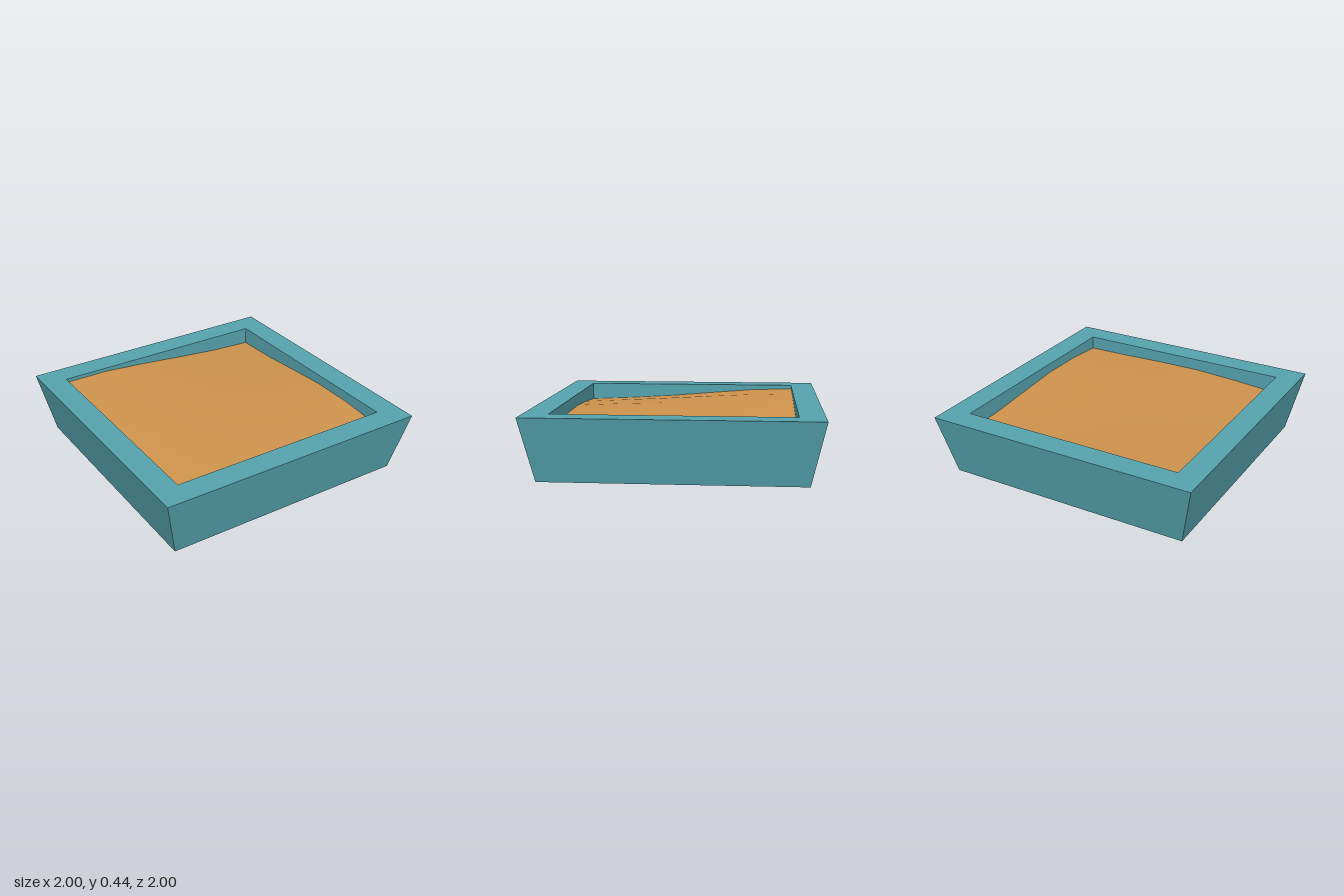
import * as THREE from 'three';

const TOP = 0.445, INNER = 0.825, SEGMENTS = 5;

// Sand heights along the four edges, running toward +x or +z
const back = [0.417, 0.418, 0.392, 0.36, 0.33, 0.315];
const front = [0.315, 0.34, 0.358, 0.357, 0.348, 0.345];
const minusX = [0.417, 0.405, 0.378, 0.35, 0.33, 0.315];
const plusX = [0.315, 0.325, 0.35, 0.373, 0.37, 0.345];

// Blend the four edge profiles across the whole surface
function sandHeight(i, j) {
  const { lerp } = THREE.MathUtils;
  const u = i / SEGMENTS, v = j / SEGMENTS;
  const corners = lerp(lerp(back[0], back[SEGMENTS], u), lerp(front[0], front[SEGMENTS], u), v);
  return lerp(back[i], front[i], v) + lerp(minusX[j], plusX[j], u) - corners;
}

export function createModel() {
  const model = new THREE.Group();
  model.name = 'sandbox';

  const teal = new THREE.MeshStandardMaterial({ color: 0x55a2ad, side: THREE.DoubleSide });
  teal.name = 'teal';
  const sandColour = new THREE.MeshStandardMaterial({ color: 0xce934c, side: THREE.DoubleSide });
  sandColour.name = 'sand';

  // Tapered square frame, open below: outer wall, flat rim, inner wall
  const profile = [[0.905, 0], [1, TOP], [INNER, TOP], [INNER, 0.29]]
    .map(([half, y]) => new THREE.Vector2(half * Math.SQRT2, y));
  const frameGeometry = new THREE.LatheGeometry(profile, 4, Math.PI / 4).toNonIndexed();
  frameGeometry.computeVertexNormals();
  const frame = new THREE.Mesh(frameGeometry, teal);
  frame.name = 'frame';
  model.add(frame);

  // Gently uneven sand surface
  const sandGeometry = new THREE.PlaneGeometry(INNER * 2, INNER * 2, SEGMENTS, SEGMENTS);
  sandGeometry.rotateX(-Math.PI / 2);
  const position = sandGeometry.attributes.position;
  for (let k = 0; k < position.count; k++) {
    position.setY(k, sandHeight(k % (SEGMENTS + 1), Math.floor(k / (SEGMENTS + 1))));
  }
  sandGeometry.computeVertexNormals();
  const sand = new THREE.Mesh(sandGeometry, sandColour);
  sand.name = 'sandSurface';
  model.add(sand);

  return model;
}
